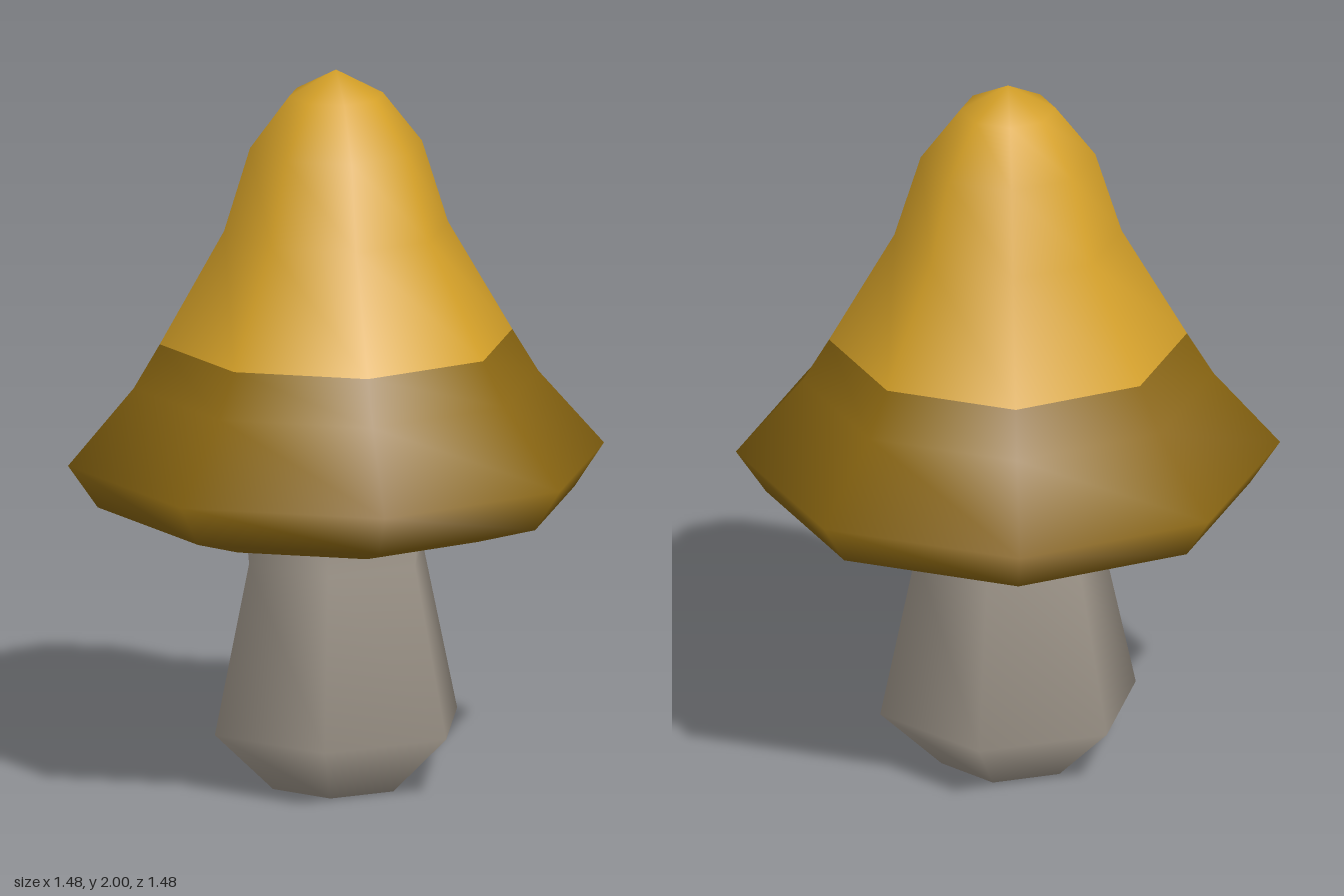
import * as THREE from 'three';

const ochre = new THREE.MeshStandardMaterial({ color: 0xd4a028 });
ochre.name = 'ochre';
const brown = new THREE.MeshStandardMaterial({ color: 0x8a6611 });
brown.name = 'darkOchre';
const grey = new THREE.MeshStandardMaterial({ color: 0xa39a8e });
grey.name = 'warmGrey';

// Smooth low-poly turned form; points on the axis get a vertical normal
function turned(name, profile, sides, material) {
  const geometry = new THREE.LatheGeometry(profile.map(([r, y]) => new THREE.Vector2(r, y)), sides);
  const { position, normal } = geometry.attributes;
  const middle = (profile[0][1] + profile[profile.length - 1][1]) / 2;
  for (let i = 0; i < position.count; i++) {
    if (Math.hypot(position.getX(i), position.getZ(i)) < 1e-4) {
      normal.setXYZ(i, 0, position.getY(i) > middle ? 1 : -1, 0);
    }
  }
  const mesh = new THREE.Mesh(geometry, material);
  mesh.name = name;
  return mesh;
}

export function createModel() {
  const model = new THREE.Group();
  model.name = 'mushroom';

  // Six-sided stem, corners on the x axis, running up into the hollow cap
  const stem = turned('stem', [
    [0, 0], [0.19, 0], [0.365, 0.17], [0.262, 0.64], [0.29, 0.95],
  ], 6, grey);
  stem.rotation.y = Math.PI / 2;
  model.add(stem);

  // Eight-sided cap: hollow underside, rim, flared brim, then the bell
  const capProfile = [
    [0.22, 0.95], [0.47, 0.74], [0.66, 0.8], [0.742, 0.92], [0.56, 1.13],
    [0.488, 1.25], [0.31, 1.56], [0.238, 1.79], [0.13, 1.93], [0, 2],
  ];
  const sides = 8;
  const cap = turned('cap', capProfile, sides, [brown, ochre]);

  // Dark band below the fifth ring, bright crown above it, on every side
  const rows = capProfile.length - 1;
  const darkRows = 5;
  for (let i = 0; i < sides; i++) {
    const start = i * rows * 6;
    cap.geometry.addGroup(start, darkRows * 6, 0);
    cap.geometry.addGroup(start + darkRows * 6, (rows - darkRows) * 6, 1);
  }
  model.add(cap);

  return model;
}
